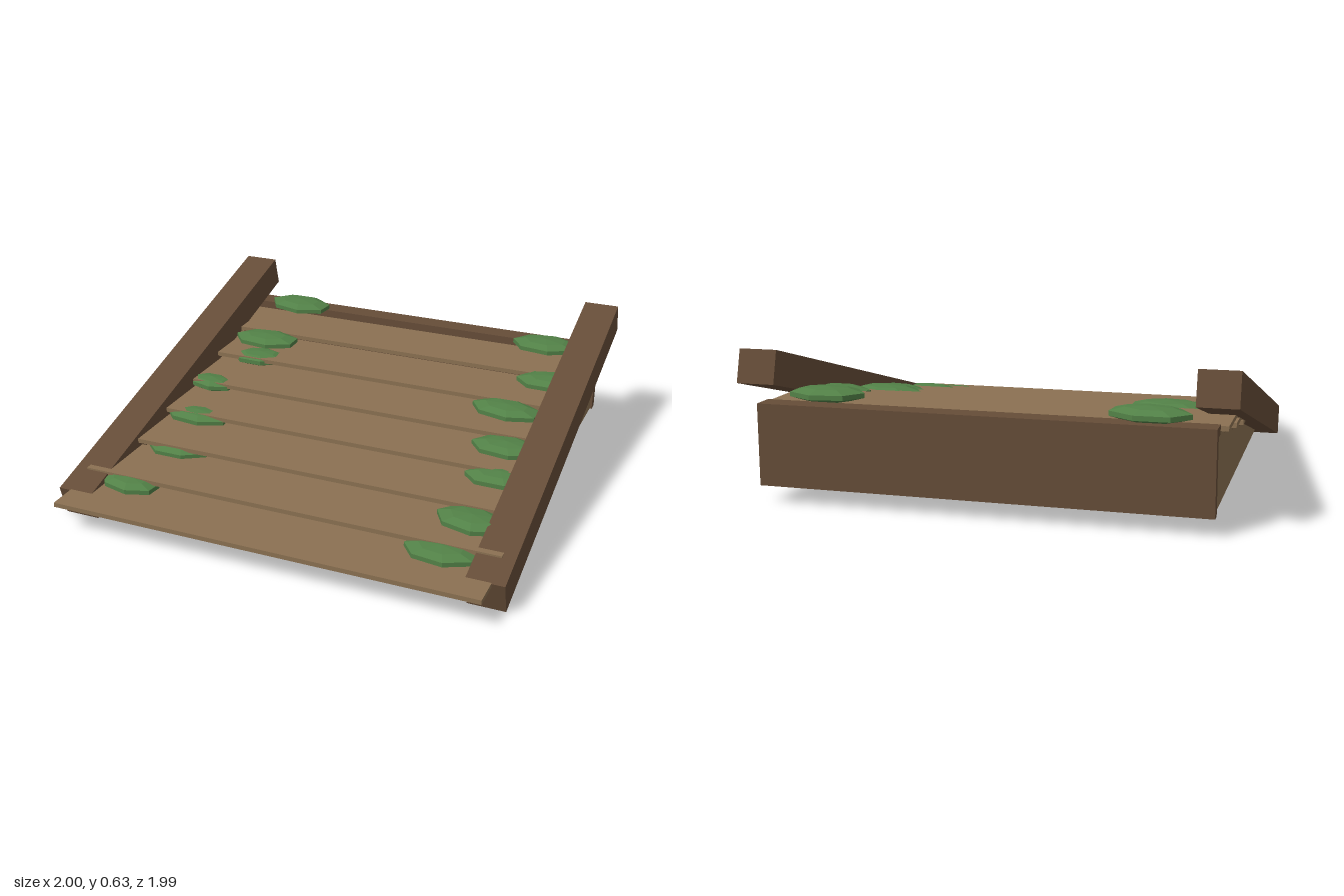
import * as THREE from 'three';

export function createModel() {
  const root = new THREE.Group();
  const paint = (name, color) => {
    const m = new THREE.MeshStandardMaterial({ color });
    m.name = name;
    return m;
  };
  const plank = paint('plank brown', 0x8b7152);
  const timber = paint('dark timber', 0x664d38);
  const moss = paint('moss green', 0x528147);
  moss.flatShading = true;

  // Box given by its lower and upper limits; half width in x, ranges in y and z
  const slab = (name, mat, halfW, y0, y1, z0, z1) => {
    const mesh = new THREE.Mesh(new THREE.BoxGeometry(halfW * 2, y1 - y0, z1 - z0), mat);
    mesh.position.set(0, (y0 + y1) / 2, (z0 + z1) / 2);
    mesh.name = name;
    root.add(mesh);
  };

  // Steps: solid body, overhanging tread and a dark riser behind each nosing
  const count = 7, base = 0.075, backZ = -0.945;
  const front = i => 0.995 - i * 0.2575;
  const top = i => 0.14 + i * 0.0425;
  for (let i = 0; i < count; i++) {
    const z = front(i), y = top(i), under = y - 0.02;
    const bodyBack = i < count - 1 ? front(i + 1) - 0.13 : backZ;
    slab('stepBody', plank, 0.91, base, under, bodyBack, z - 0.13);
    slab('tread', plank, 0.945, under, y, z - 0.29, z);
    if (i > 0) slab('riser', timber, 0.91, top(i - 1) - 0.02, under, z - 0.13, z - 0.09);
  }

  // Back board with its cap
  slab('backBoard', timber, 0.92, base, 0.375, -0.99, backZ);
  slab('backCap', timber, 0.92, 0.375, 0.413, -0.99, -0.895);

  // Sloping side beams
  for (const side of [-1, 1]) {
    const beam = new THREE.Mesh(new THREE.BoxGeometry(0.16, 0.14, 1.9), timber);
    beam.position.set(side * 0.92, 0.316, -0.063);
    beam.rotation.x = 0.261;
    beam.name = 'sideBeam';
    root.add(beam);
  }

  // Moss clumps: x, y, z, half width, half depth
  const clumpShape = new THREE.SphereGeometry(1, 7, 5);
  const clumps = [
    [-0.65, 0.433, -0.87, 0.175, 0.11],
    [-0.66, 0.38, -0.48, 0.175, 0.105],
    [-0.64, 0.333, -0.36, 0.14, 0.09],
    [-0.76, 0.288, -0.08, 0.13, 0.075],
    [-0.69, 0.24, 0.185, 0.17, 0.09],
    [-0.65, 0.19, 0.43, 0.16, 0.09],
    [-0.73, 0.15, 0.73, 0.15, 0.09],
    [0.69, 0.433, -0.82, 0.17, 0.11],
    [0.80, 0.38, -0.515, 0.17, 0.105],
    [0.67, 0.335, -0.23, 0.175, 0.1],
    [0.75, 0.285, 0.035, 0.165, 0.1],
    [0.78, 0.238, 0.225, 0.16, 0.095],
    [0.76, 0.193, 0.54, 0.165, 0.105],
    [0.70, 0.15, 0.745, 0.165, 0.1],
  ];
  clumps.forEach(([x, y, z, rx, rz], i) => {
    const clump = new THREE.Mesh(clumpShape, moss);
    clump.position.set(x, y, z);
    clump.scale.set(rx, 0.032, rz);
    clump.rotation.y = (i % 3 - 1) * 0.12;
    clump.name = 'mossClump';
    root.add(clump);
  });

  return root;
}
